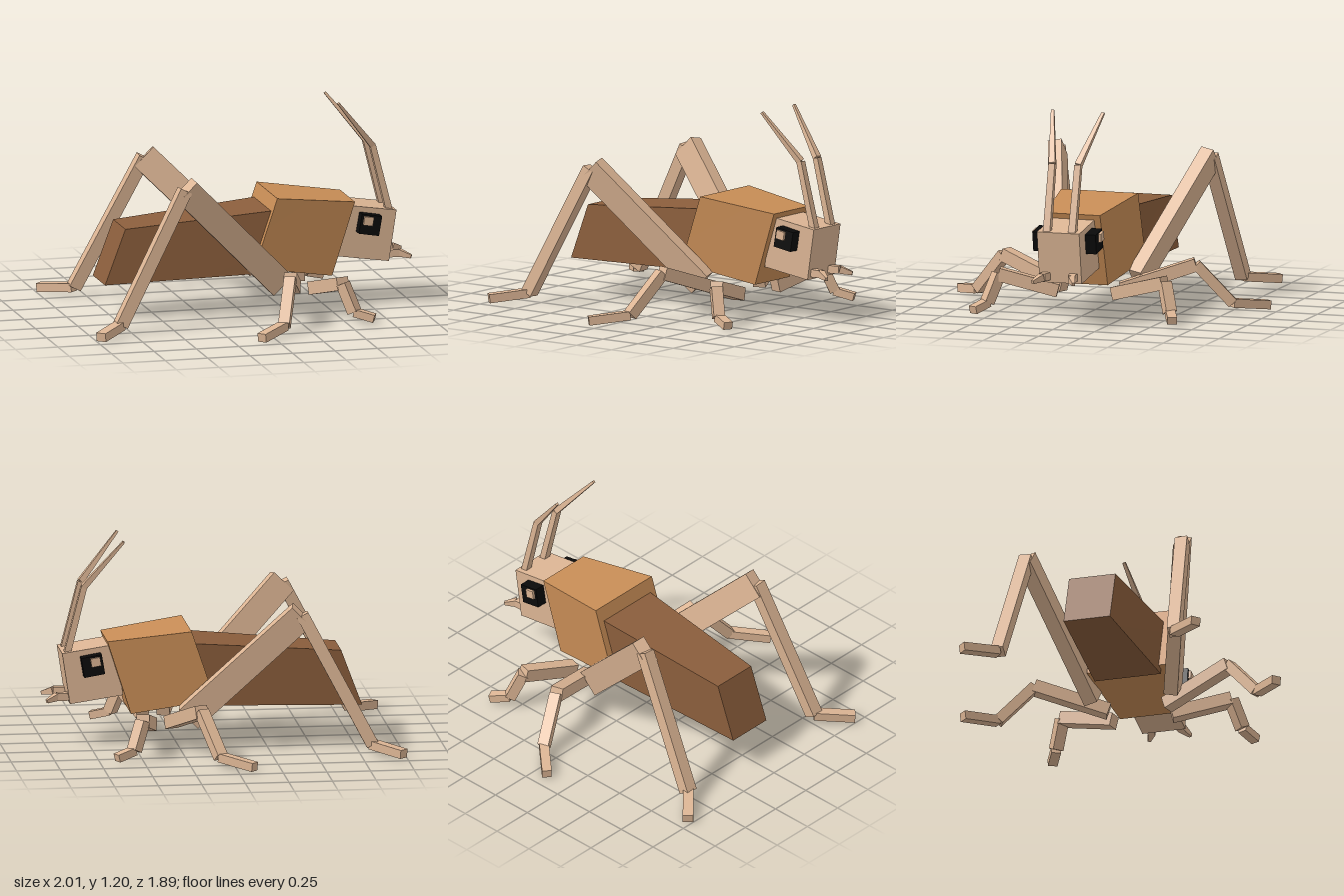
import * as THREE from 'three';

const flat = (name, color) => {
  const m = new THREE.MeshStandardMaterial({ color });
  m.name = name;
  return m;
};
const V = (p, s = 1) => new THREE.Vector3(p[0], p[1], p[2] * s);

// Moves every corner of a unit box by a rule, keeping hard edges
function warpBox(rule) {
  const g = new THREE.BoxGeometry(1, 1, 1);
  const p = g.attributes.position;
  const v = new THREE.Vector3();
  for (let i = 0; i < p.count; i++) {
    v.fromBufferAttribute(p, i);
    const q = rule(v.x, v.y, v.z);
    p.setXYZ(i, q.x, q.y, q.z);
  }
  g.computeVertexNormals();
  return g;
}

// Body block from a rear and a front end: { top: [x, y], bottom: [x, y], half: width / 2 }
function bodyBlock(rear, front) {
  return warpBox((x, y, z) => {
    const end = x < 0 ? rear : front;
    const c = y > 0 ? end.top : end.bottom;
    return new THREE.Vector3(c[0], c[1], z * 2 * end.half);
  });
}

// Tapered four-sided bar from a to b; size is [width, depth] at each end
function strut(a, b, sizeA, sizeB = sizeA, ref = null) {
  const dir = b.clone().sub(a).normalize();
  const side = ref
    ? ref.clone().addScaledVector(dir, -ref.dot(dir)).normalize()
    : dir.clone().cross(new THREE.Vector3(0, 1, 0)).normalize();
  const depth = side.clone().cross(dir);
  return warpBox((x, y, z) => {
    const s = y < 0 ? sizeA : sizeB;
    return (y < 0 ? a : b).clone()
      .addScaledVector(side, x * s[0])
      .addScaledVector(depth, z * s[1]);
  });
}

export function createModel() {
  const model = new THREE.Group();
  model.name = 'cricket';
  const tan = flat('tan', 0xdcb594);
  const orange = flat('orangeBrown', 0xc88d56);
  const brown = flat('darkBrown', 0x8b5e3c);
  const black = flat('black', 0x0a0a0a);
  const Z = new THREE.Vector3(0, 0, 1);

  const add = (name, geometry, material, parent = model) => {
    const mesh = new THREE.Mesh(geometry, material);
    mesh.name = name;
    parent.add(mesh);
    return mesh;
  };

  // Body, from tail to head
  add('abdomen', bodyBlock(
    { top: [-0.69, 0.53], bottom: [-0.81, 0.21], half: 0.137 },
    { top: [0.2, 0.605], bottom: [0.08, 0.24], half: 0.195 }), brown);
  add('thorax', bodyBlock(
    { top: [0.18, 0.68], bottom: [0.045, 0.28], half: 0.232 },
    { top: [0.655, 0.62], bottom: [0.52, 0.197], half: 0.165 }), orange);
  add('head', bodyBlock(
    { top: [0.61, 0.595], bottom: [0.56, 0.3], half: 0.127 },
    { top: [0.91, 0.55], bottom: [0.865, 0.255], half: 0.127 }), tan);

  // Leg joints on the left side: hip, knee, ankle, toe
  const legs = {
    frontLeg: {
      points: [[0.41, 0.135, 0.17], [0.495, 0.225, 0.5], [0.55, 0.065, 0.55], [0.655, 0.035, 0.6]],
      sizes: [[0.075, 0.075], [0.065, 0.06], [0.055, 0.045]],
    },
    middleLeg: {
      points: [[0.295, 0.145, 0.17], [0.165, 0.285, 0.575], [0.08, 0.06, 0.765], [-0.095, 0.032, 0.925]],
      sizes: [[0.075, 0.075], [0.065, 0.06], [0.055, 0.05]],
    },
    hindLeg: {
      points: [[0.197, 0.185, 0.235], [-0.425, 0.812, 0.46], [-0.82, 0.06, 0.52], [-0.98, 0.035, 0.69]],
      sizes: [[0.08, 0.155], [0.072, 0.072], [0.06, 0.05]],
      ref: Z,
    },
  };

  for (const s of [1, -1]) {
    const sideName = s > 0 ? 'left' : 'right';

    for (const [name, leg] of Object.entries(legs)) {
      const group = new THREE.Group();
      group.name = `${sideName} ${name}`;
      const p = leg.points.map((q) => V(q, s));
      ['thigh', 'shin', 'foot'].forEach((part, i) => {
        const ref = part === 'foot' ? null : leg.ref;
        add(part, strut(p[i], p[i + 1], leg.sizes[i], leg.sizes[i], ref), tan, group);
      });
      model.add(group);
    }

    // Eye block with a small raised pupil
    const eye = add(`${sideName} eye`, new THREE.BoxGeometry(0.12, 0.115, 0.07), black);
    eye.position.set(0.74, 0.485, s * 0.155);
    eye.rotation.z = -0.17;
    const pupil = add(`${sideName} pupil`, new THREE.BoxGeometry(0.055, 0.05, 0.02), tan);
    pupil.position.set(0.726, 0.51, s * 0.195);
    pupil.rotation.z = -0.17;

    // Antenna in two bars, thinning to the tip
    const bend = V([0.78, 0.925, 0.078], s);
    add(`${sideName} lower antenna`,
      strut(V([0.877, 0.54, 0.076], s), bend, [0.042, 0.038], [0.038, 0.034], Z), tan);
    add(`${sideName} upper antenna`,
      strut(bend, V([0.56, 1.197, 0.152], s), [0.038, 0.034], [0.018, 0.014], Z), tan);

    // Mouth feeler in two short bars
    const elbow = V([0.935, 0.293, 0.09], s);
    add(`${sideName} feeler base`,
      strut(V([0.86, 0.292, 0.08], s), elbow, [0.045, 0.045], [0.04, 0.042]), tan);
    add(`${sideName} feeler tip`,
      strut(elbow, V([0.998, 0.273, 0.123], s), [0.04, 0.042], [0.018, 0.02]), tan);
  }

  return model;
}
